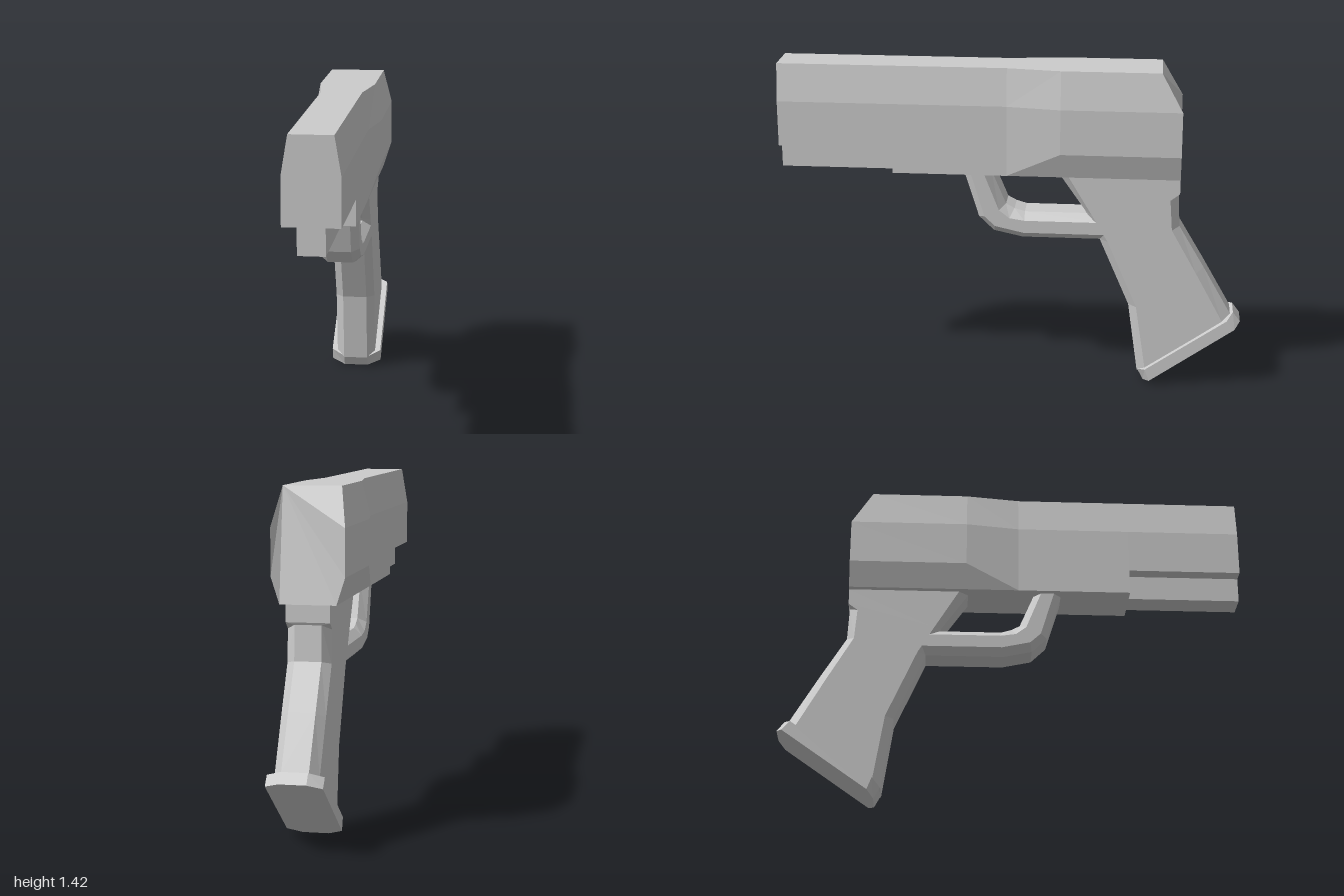
import * as THREE from 'three';

const material = new THREE.MeshStandardMaterial({ color: 0xcccccc, flatShading: true });

// Skin a row of cross-sections. Each section lists [x, y, z] points of its +x half.
function loft(name, sections) {
  const n = sections[0].length, count = 2 * n;
  const rings = sections.map(half => {
    const left = half.map(p => new THREE.Vector3(...p));
    const right = left.map(p => new THREE.Vector3(-p.x, p.y, p.z)).reverse();
    return [...left, ...right];
  });
  const tris = [];
  const add = (a, b, c) => {
    const area = b.clone().sub(a).cross(c.clone().sub(a)).length();
    if (area > 1e-8) tris.push([a, b, c]);
  };
  for (let k = 0; k < rings.length - 1; k++) {
    for (let i = 0; i < count; i++) {
      const j = (i + 1) % count;
      const a = rings[k][i], b = rings[k][j], c = rings[k + 1][i], d = rings[k + 1][j];
      // mirrored diagonals keep both sides alike
      if (i < n) { add(a, b, c); add(b, d, c); }
      else { add(a, b, d); add(a, d, c); }
    }
  }
  const first = rings[0], last = rings[rings.length - 1];
  for (let i = 1; i < count - 1; i++) {
    add(first[0], first[i + 1], first[i]);
    add(last[0], last[i], last[i + 1]);
  }
  // make every face point outwards
  let volume = 0;
  for (const [a, b, c] of tris) volume += a.dot(b.clone().cross(c));
  const points = tris.flatMap(([a, b, c]) => (volume < 0 ? [a, c, b] : [a, b, c]));
  const geometry = new THREE.BufferGeometry().setFromPoints(points);
  geometry.computeVertexNormals();
  const mesh = new THREE.Mesh(geometry, material);
  mesh.name = name;
  return mesh;
}

// Side-view section: four [z, y] points, narrow at the ends and wide in the middle.
const bevelled = (points, narrow, wide) =>
  points.map(([z, y, x], i) => [x ?? (i === 0 || i === 3 ? narrow : wide), y, z]);

export function createModel() {
  const model = new THREE.Group();
  model.name = 'pistol';

  // Upper body: slim at the front, flared at the rear
  const slim = (z, bottom) => [[0.088, 1.42, z], [0.115, 1.26, z], [0.115, 1.065, z], [0.115, bottom, z]];
  const flared = (z, topZ) => [[0.12, 1.42, topZ], [0.15, 1.26, z], [0.15, 1.065, z], [0.115, 0.955, z]];
  model.add(loft('upperBody', [
    slim(1, 1.065), slim(0.51, 1.065), slim(0.51, 0.955), slim(0.02, 0.955),
    flared(-0.21, -0.21), flared(-0.72, -0.63),
  ]));

  // Narrow rail below the front
  const rail = new THREE.Mesh(new THREE.BoxGeometry(0.11, 0.11, 0.49), material);
  rail.name = 'frontRail';
  rail.position.set(0, 1.01, 0.755);
  model.add(rail);

  // Grip: front edge, front bevel, back bevel, back edge, from top to bottom
  model.add(loft('grip', [
    [[-0.20, 0.955], [-0.24, 0.955], [-0.72, 0.955], [-0.72, 0.955, 0.09]],
    [[-0.315, 0.79], [-0.345, 0.78], [-0.72, 0.885], [-0.72, 0.885, 0.09]],
    [[-0.315, 0.79], [-0.345, 0.78], [-0.68, 0.855], [-0.715, 0.875]],
    [[-0.38, 0.66], [-0.415, 0.66], [-0.69, 0.72], [-0.722, 0.73]],
    [[-0.51, 0.36], [-0.545, 0.36], [-0.80, 0.525], [-0.832, 0.545]],
    [[-0.555, 0.045], [-0.59, 0.07], [-0.92, 0.305], [-0.955, 0.33]],
  ].map(s => bevelled(s, 0.055, 0.09))));

  // Plate closing the bottom of the grip
  model.add(loft('basePlate', [
    [[-0.557, 0.05], [-0.59, 0.073], [-0.94, 0.317], [-0.968, 0.337]],
    [[-0.583, 0.0], [-0.61, 0.02], [-0.975, 0.278], [-1.0, 0.295]],
  ].map(s => bevelled(s, 0.055, 0.115))));

  // Trigger guard: outer edge, outer bevel, inner bevel, inner edge
  model.add(loft('triggerGuard', [
    [[0.21, 0.96], [0.178, 0.96], [0.122, 0.96], [0.09, 0.96]],
    [[0.145, 0.75], [0.118, 0.76], [0.055, 0.79], [0.027, 0.81]],
    [[0.08, 0.687], [0.072, 0.717], [0.01, 0.755], [-0.01, 0.79]],
    [[-0.045, 0.66], [-0.05, 0.69], [-0.055, 0.745], [-0.055, 0.777]],
    [[-0.42, 0.66], [-0.42, 0.69], [-0.42, 0.745], [-0.42, 0.777]],
  ].map(s => bevelled(s, 0.055, 0.09))));

  return model;
}
